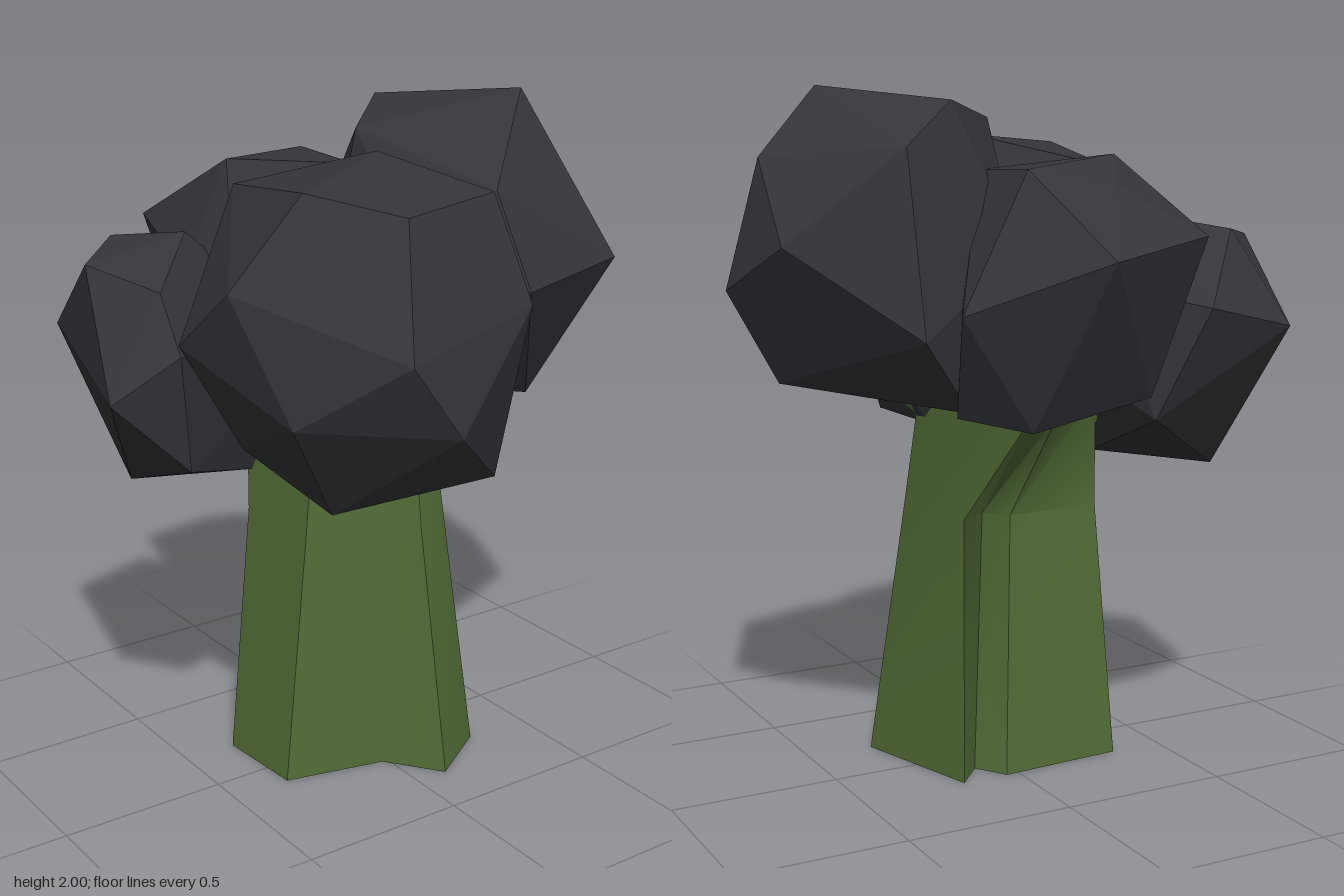
import * as THREE from 'three';
import { toCreasedNormals } from 'three/addons/utils/BufferGeometryUtils.js';
import { ConvexGeometry } from 'three/addons/geometries/ConvexGeometry.js';

const charcoal = new THREE.MeshStandardMaterial({ color: 0x34353a });
charcoal.name = 'charcoal foliage';
const green = new THREE.MeshStandardMaterial({ color: 0x546e38 });
green.name = 'stalk green';

// Corner points of each faceted foliage clump
const clumps = {
  rightClump: [
    [0.47, 2, 0.15], [0.73, 1.81, -0.08], [0.8, 1.45, 0], [0.73, 1.58, -0.24], [0.61, 1.54, 0.42],
    [0.25, 1.5, 0.48], [0.21, 1.77, 0.37], [0, 1.91, 0], [0.23, 1.96, -0.23], [0.42, 1.84, -0.35],
    [0.4, 1.33, -0.42], [0.64, 1.18, 0.03], [0.42, 1.13, 0.27], [0.21, 1.11, -0.3],
    [-0.07, 1.5, -0.03], [0.06, 1.17, 0.04], [0.02, 1.6, 0.25], [0.06, 1.55, -0.3]],
  frontClump: [
    [-0.41, 1.83, 0.35], [-0.23, 1.78, 0.56], [-0.32, 1.44, 0.71], [-0.16, 1.22, 0.71],
    [0.16, 1.78, 0.42], [0.28, 1.4, 0.4], [0.17, 1.5, 0.58], [-0.62, 1.59, 0.32], [-0.63, 1.4, 0.08],
    [-0.53, 1.25, 0.48], [-0.33, 0.94, 0.36], [0.03, 0.97, 0.17], [0.12, 1, 0.5], [-0.48, 1.1, 0.15],
    [-0.33, 1.77, -0.12], [0, 1.86, 0.1], [-0.3, 1.3, -0.13], [0.18, 1.35, 0.02],
    [0.13, 1.01, 0.12], [0.18, 1.12, 0.22]],
  backClump: [
    [0.12, 1.78, -0.46], [-0.26, 1.81, -0.27], [0, 1.55, -0.72], [-0.34, 1.6, -0.63],
    [0.32, 1.4, -0.47], [-0.4, 1.5, -0.28], [0.1, 1.07, -0.46], [-0.25, 1.15, -0.5],
    [0.25, 1.1, -0.3], [0.12, 1.77, -0.18], [-0.33, 1.15, -0.2], [0.05, 1.27, -0.57],
    [-0.1, 1.74, -0.55], [-0.36, 1.45, -0.08], [0.1, 1.5, -0.04]],
  leftClump: [
    [-0.73, 1.57, -0.25], [-0.56, 1.6, -0.42], [-0.8, 1.24, 0], [-0.63, 1.37, 0.09],
    [-0.68, 1.33, -0.55], [-0.38, 1.4, -0.6], [-0.59, 0.9, -0.3], [-0.3, 0.93, -0.1],
    [-0.62, 1.52, -0.03], [-0.28, 1.08, -0.48], [-0.58, 1.02, 0.04], [-0.43, 1.63, -0.22],
    [-0.2, 1.45, -0.3], [-0.15, 1.25, -0.1]],
};

// Skins a stack of [x, y, z] rings and closes the bottom and top
function loft(rings) {
  const pos = [];
  const n = rings[0].length;
  for (let r = 0; r < rings.length - 1; r++) {
    for (let i = 0; i < n; i++) {
      const j = (i + 1) % n;
      const [a, b, c, d] = [rings[r][i], rings[r][j], rings[r + 1][j], rings[r + 1][i]];
      pos.push(...a, ...b, ...c, ...a, ...c, ...d);
    }
  }
  const cap = (ring, up) => {
    const flat = ring.map(p => new THREE.Vector2(p[0], -p[2]));
    for (const [a, b, c] of THREE.ShapeUtils.triangulateShape(flat, [])) {
      pos.push(...ring[a], ...ring[up ? b : c], ...ring[up ? c : b]);
    }
  };
  cap(rings[0], false);
  cap(rings[rings.length - 1], true);
  const g = new THREE.BufferGeometry();
  g.setAttribute('position', new THREE.Float32BufferAttribute(pos, 3));
  return toCreasedNormals(g, 0.8);
}

// Tapered branch between two points
function branch(name, from, to, r0, r1) {
  const a = new THREE.Vector3(...from), b = new THREE.Vector3(...to);
  const dir = b.clone().sub(a);
  const mesh = new THREE.Mesh(new THREE.CylinderGeometry(r1, r0, dir.length(), 6), green);
  mesh.position.copy(a).add(b).multiplyScalar(0.5);
  mesh.quaternion.setFromUnitVectors(new THREE.Vector3(0, 1, 0), dir.normalize());
  mesh.name = name;
  return mesh;
}

export function createModel() {
  const model = new THREE.Group();
  model.name = 'tree';

  // Foliage
  for (const [name, points] of Object.entries(clumps)) {
    const mesh = new THREE.Mesh(new ConvexGeometry(points.map(p => new THREE.Vector3(...p))), charcoal);
    mesh.name = name;
    model.add(mesh);
  }

  // Grooved stalk: narrows upward, then flares to the back under the foliage
  const base = [[-0.34, -0.18], [-0.32, 0.1], [-0.02, 0.17], [0.1, 0.33], [0.3, 0.2], [0.18, -0.2], [0.1, -0.11], [0.04, -0.2]];
  const neck = [[-0.27, -0.17], [-0.25, 0.11], [0, 0.18], [0.05, 0.26], [0.17, 0.21], [0.17, -0.18], [0.08, -0.12], [0.02, -0.18]];
  const crown = [[-0.25, -0.2], [-0.22, 0.11], [0, 0.18], [0.04, 0.23], [0.12, 0.21], [0.16, -0.3], [0.09, -0.43], [0, -0.42]];
  const ring = (points, y) => points.map(([x, z]) => [x, y, z]);
  const stalk = new THREE.Mesh(loft([ring(base, 0), ring(neck, 0.78), ring(crown, 1.11)]), green);
  stalk.name = 'stalk';
  model.add(stalk);

  // Branches reaching into the foliage
  model.add(
    branch('rightBranch', [0.04, 1.04, 0.14], [0.2, 1.26, 0.38], 0.09, 0.09),
    branch('leftBranch', [-0.14, 0.95, -0.02], [-0.38, 1.2, -0.2], 0.1, 0.09),
  );
  return model;
}
